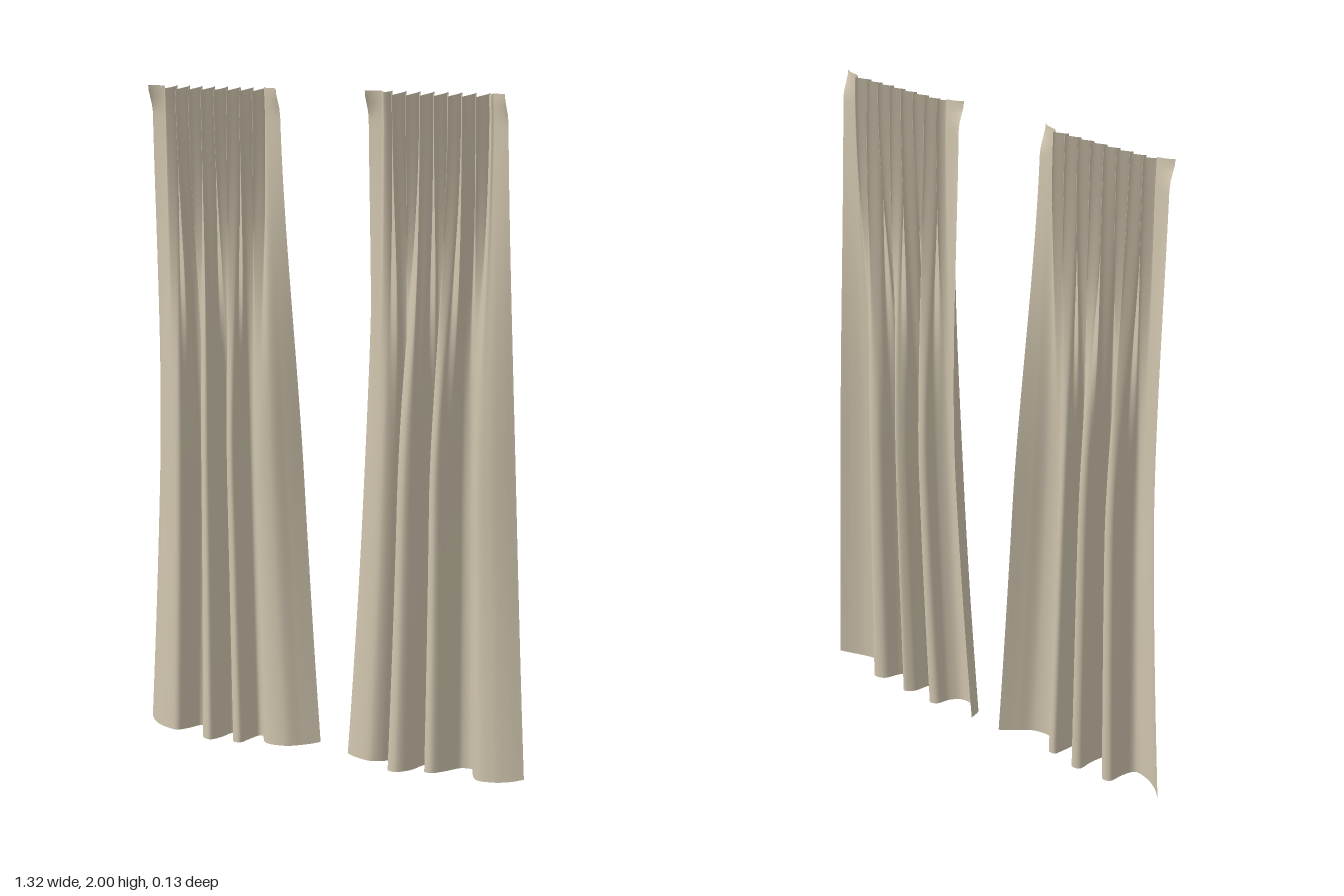
import * as THREE from 'three';

const ROWS = 64, COLS = 220, PLEATS = 8;
const smooth = THREE.MathUtils.smoothstep, lerp = THREE.MathUtils.lerp;

// One hanging cloth panel: gathered pleats at the top melt into a few deep folds at the hem.
function curtainPanel({ top, bottom, folds, phase }, material) {
  const hem = new THREE.CatmullRomCurve3(
    folds.map(([x, z]) => new THREE.Vector3(x, 0, z)), false, 'centripetal');
  hem.arcLengthDivisions = 400;
  const hemPoints = hem.getSpacedPoints(COLS);
  const positions = [], index = [];

  for (let r = 0; r <= ROWS; r++) {
    const t = Math.pow(r / ROWS, 1.15);            // 0 at the top, 1 at the hem
    const flare = Math.pow(t, 1.7);
    const left = lerp(top[0], bottom[0], flare);
    const right = lerp(top[1], bottom[1], flare);
    const foldWeight = smooth(t, 0, 0.6);
    const pleatWeight = 1 - smooth(t, 0.02, 0.5);

    for (let c = 0; c <= COLS; c++) {
      const u = c / COLS, p = hemPoints[c];
      const foldX = (p.x - bottom[0]) / (bottom[1] - bottom[0]);

      // Pleats fill the middle, leaving a flat strip at each side edge
      const a = THREE.MathUtils.clamp((u - 0.1) / 0.8, 0, 1);
      const edge = smooth(a, 0, 0.06) * (1 - smooth(a, 0.94, 1));
      const angle = a * PLEATS * Math.PI * 2 + phase;
      const pleatX = u + 0.012 * edge * Math.sin(2 * angle);
      const pleatZ = 0.023 * edge * Math.sin(angle);

      const x = lerp(left, right, lerp(pleatX, foldX, foldWeight));
      let z = pleatZ * pleatWeight + p.z * foldWeight - 0.014 * Math.sin(Math.PI * t);

      // Heading leans forward at the corners and dips between the pleats
      const corner = Math.pow(Math.abs(2 * u - 1), 8);
      z += 0.022 * corner * (1 - smooth(t, 0, 0.04));
      const yTop = 2 - 0.006 * edge * (1 + Math.sin(angle));
      const yHem = 0.016 * corner + 0.005 * (1 + Math.sin(u * 9 + phase)) * (1 - corner);
      positions.push(x, lerp(yTop, yHem, t), z);
    }
  }

  const w = COLS + 1;
  for (let r = 0; r < ROWS; r++) {
    for (let c = 0; c < COLS; c++) {
      const a = r * w + c, b = a + w;
      index.push(a, b, a + 1, a + 1, b, b + 1);
    }
  }
  const geometry = new THREE.BufferGeometry();
  geometry.setAttribute('position', new THREE.Float32BufferAttribute(positions, 3));
  geometry.setIndex(index);
  geometry.computeVertexNormals();
  return new THREE.Mesh(geometry, material);
}

export function createModel() {
  const linen = new THREE.MeshStandardMaterial({ color: 0xd0c5ae, side: THREE.DoubleSide });
  linen.name = 'linen';
  const group = new THREE.Group();
  group.name = 'curtains';

  // Hem outlines as [x, z], running from -x to +x
  const rightPanel = curtainPanel({
    top: [-0.61, -0.16], bottom: [-0.66, -0.05], phase: 0.4,
    folds: [[-0.66, -0.04], [-0.62, 0.0], [-0.57, 0.03], [-0.515, 0.04], [-0.495, 0.0],
      [-0.485, -0.045], [-0.46, -0.05], [-0.435, -0.01], [-0.415, 0.045], [-0.385, 0.055],
      [-0.37, 0.01], [-0.365, -0.042], [-0.34, -0.048], [-0.32, 0.0], [-0.305, 0.045],
      [-0.28, 0.048], [-0.27, 0.0], [-0.262, -0.036], [-0.24, -0.036], [-0.22, 0.005],
      [-0.19, 0.03], [-0.13, 0.024], [-0.09, -0.01], [-0.05, -0.05]],
  }, linen);
  rightPanel.name = 'rightCurtain';

  const leftPanel = curtainPanel({
    top: [0.14, 0.59], bottom: [0.06, 0.66], phase: 1.6,
    folds: [[0.06, -0.05], [0.075, 0.0], [0.11, 0.018], [0.165, 0.024], [0.195, 0.0],
      [0.215, -0.042], [0.24, -0.045], [0.245, 0.01], [0.245, 0.06], [0.275, 0.066],
      [0.305, 0.03], [0.32, -0.03], [0.345, -0.05], [0.36, 0.0], [0.36, 0.045],
      [0.385, 0.05], [0.415, 0.01], [0.44, -0.04], [0.475, -0.046], [0.495, -0.005],
      [0.53, 0.036], [0.58, 0.032], [0.625, 0.012], [0.66, -0.01]],
  }, linen);
  leftPanel.name = 'leftCurtain';

  group.add(rightPanel, leftPanel);
  return group;
}
